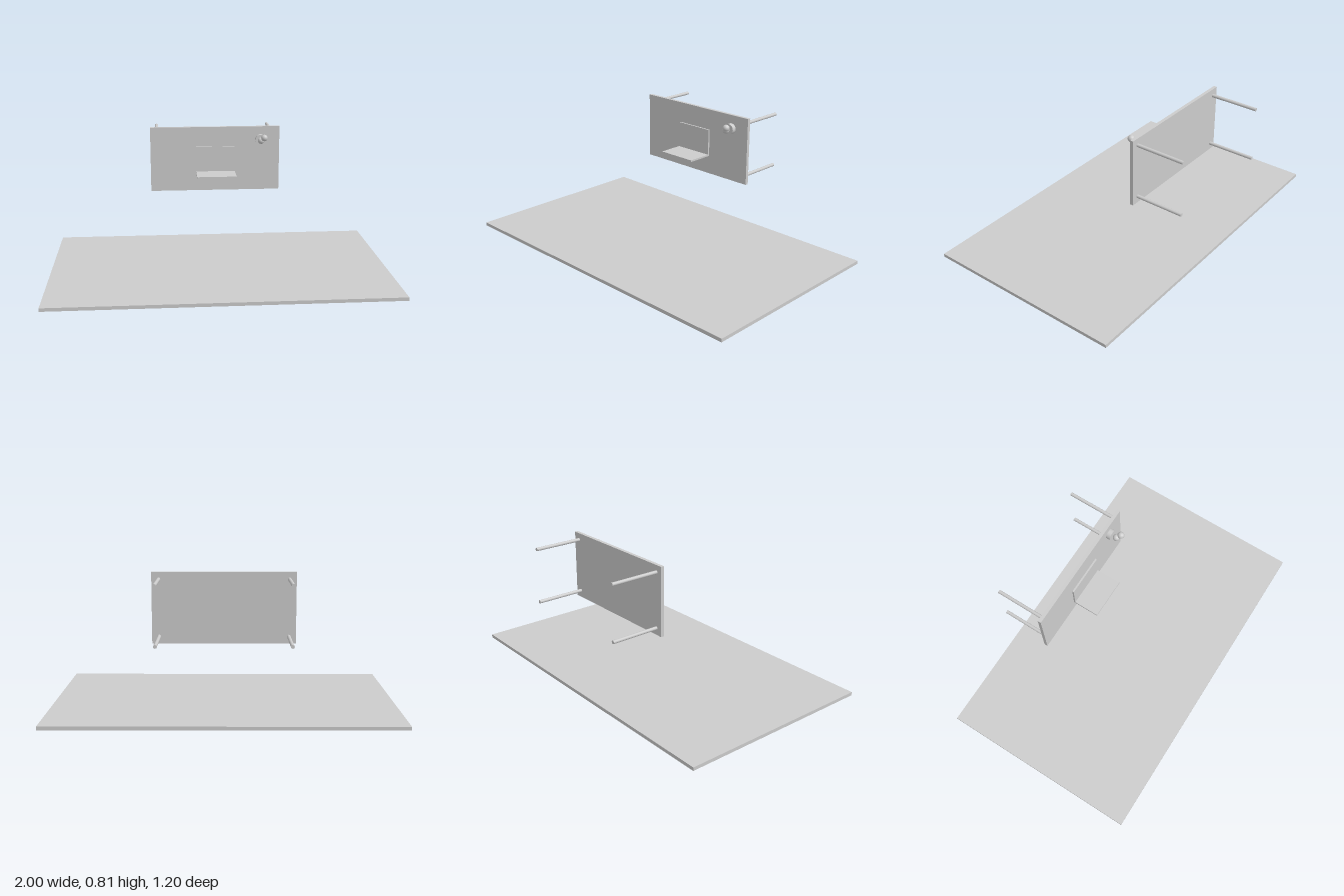
import * as THREE from 'three';

export function createModel() {
  const model = new THREE.Group();
  const grey = new THREE.MeshStandardMaterial({ color: 0xcccccc });

  const add = (parent, name, geometry, x, y, z) => {
    const mesh = new THREE.Mesh(geometry, grey);
    mesh.name = name;
    mesh.position.set(x, y, z);
    parent.add(mesh);
    return mesh;
  };

  // Floor slab
  add(model, 'floor', new THREE.BoxGeometry(2, 0.02, 1.2), 0, 0.01, 0);

  // Desk, built upright (top at y = 0) and then tipped so its top faces the front
  const desk = new THREE.Group();
  desk.name = 'desk';
  desk.position.set(0, 0.613, -0.3);
  desk.rotation.x = Math.PI / 2;
  model.add(desk);

  add(desk, 'deskTop', new THREE.BoxGeometry(0.8, 0.02, 0.4), 0, 0, 0);
  const legGeometry = new THREE.CylinderGeometry(0.01, 0.01, 0.29, 16);
  for (const x of [-0.36, 0.36]) {
    for (const z of [-0.16, 0.16]) add(desk, 'deskLeg', legGeometry, x, -0.155, z);
  }

  // Laptop: one panel lies along the desk top, the other stands out from it
  const laptop = new THREE.Group();
  laptop.name = 'laptop';
  desk.add(laptop);
  const panel = new THREE.BoxGeometry(0.24, 0.01, 0.16);
  add(laptop, 'laptopBase', panel, 0, 0.025, 0);
  add(laptop, 'laptopScreen', panel, 0, 0.1, 0.08).rotation.x = Math.PI / 2;

  // Round pot with two small balls floating above it
  const pot = new THREE.Group();
  pot.name = 'pot';
  pot.position.set(0.28, 0, -0.12);
  desk.add(pot);
  add(pot, 'potBody', new THREE.CylinderGeometry(0.031, 0.031, 0.025, 32), 0, 0.0225, 0);
  const ball = new THREE.SphereGeometry(0.02, 32, 16);
  add(pot, 'lowerBall', ball, 0, 0.06, 0);
  add(pot, 'upperBall', ball, 0.018, 0.08, -0.02);

  return model;
}
